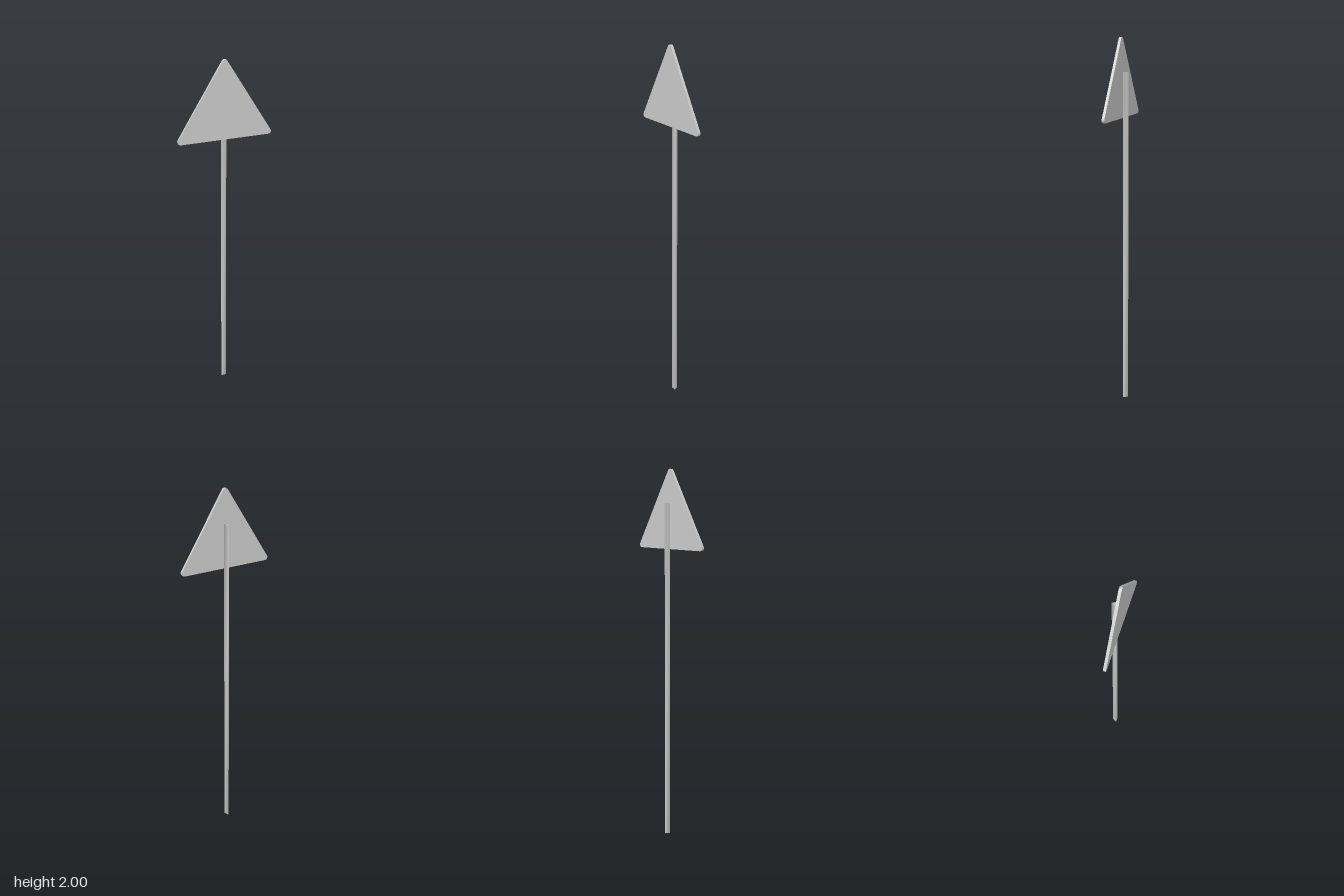
import * as THREE from 'three';
import { mergeVertices, toCreasedNormals } from 'three/addons/utils/BufferGeometryUtils.js';

export function createModel() {
  const model = new THREE.Group();
  model.name = 'triangularRoadSign';
  const material = new THREE.MeshStandardMaterial({ color: 0xcccccc });

  const add = (name, geometry) => {
    const mesh = new THREE.Mesh(geometry, material);
    mesh.name = name;
    model.add(mesh);
    return mesh;
  };

  // Pole: three-sided prism, one edge to the back, normals blended over the ends
  const poleHeight = 1.826;
  let prism = new THREE.CylinderGeometry(0.0165, 0.0165, poleHeight, 3).rotateY(Math.PI);
  prism.deleteAttribute('normal');
  prism.deleteAttribute('uv');
  prism = mergeVertices(prism);
  prism.computeVertexNormals();
  add('pole', prism).position.set(0, poleHeight / 2, -0.0085);

  // Sign plate: triangle with small rounded corners
  const r = 0.015;
  const corners = [[0.227, 1.603, -90], [0, 1.985, 30], [-0.227, 1.603, 150]];
  const outline = new THREE.Shape();
  for (const [x, y, start] of corners) {
    const a = THREE.MathUtils.degToRad(start);
    outline.absarc(x, y, r, a, a + Math.PI * 2 / 3, false);
  }
  outline.closePath();
  const plate = new THREE.ExtrudeGeometry(outline, { depth: 0.0145, bevelEnabled: false, curveSegments: 4 });
  add('signPlate', toCreasedNormals(plate, 0.7)).position.z = 0.01;

  return model;
}
